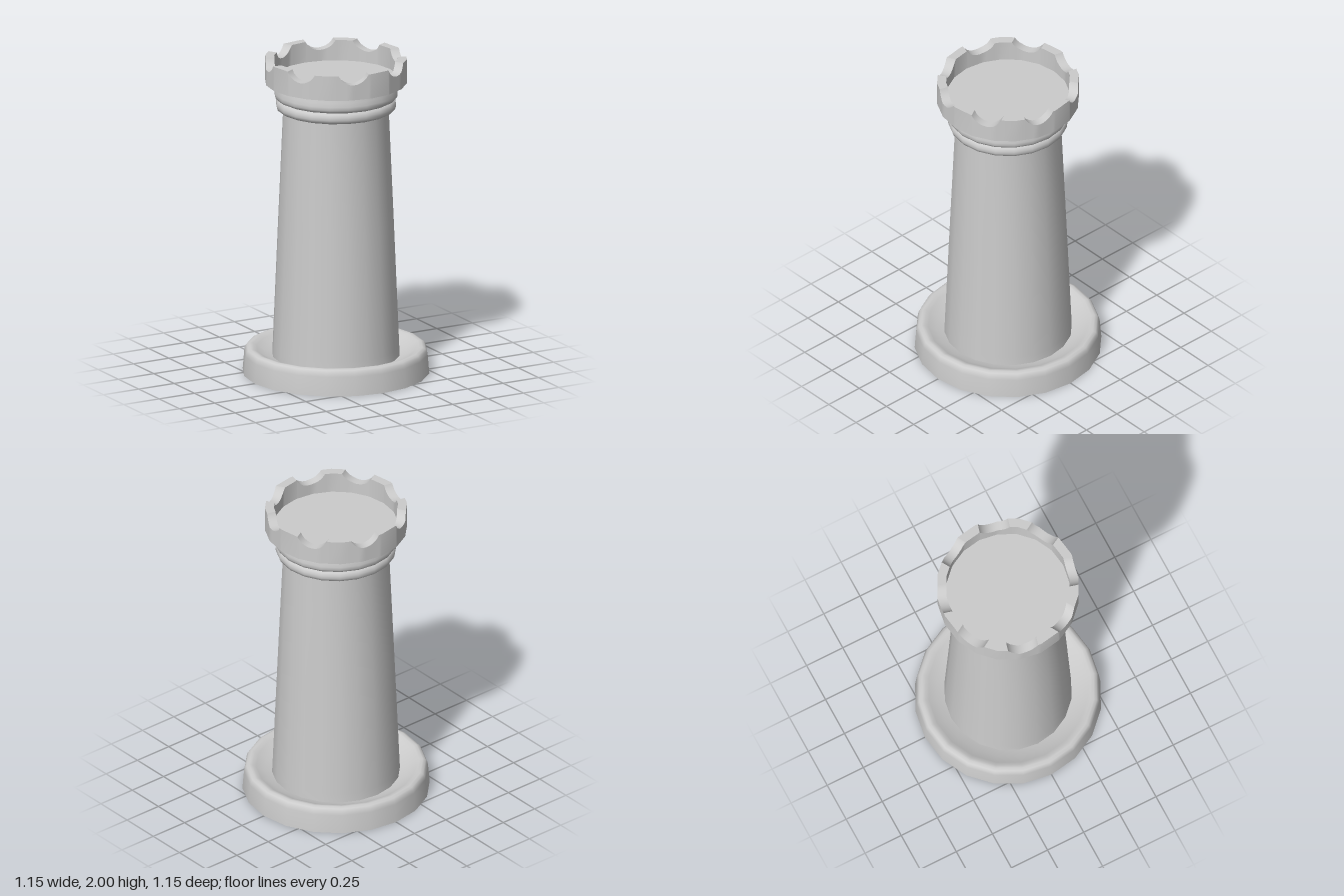
import * as THREE from 'three';
import { toCreasedNormals } from 'three/addons/utils/BufferGeometryUtils.js';

const SIDES = 20;
const STEP = (Math.PI * 2) / SIDES;
const material = new THREE.MeshStandardMaterial({ color: 0xcccccc });

function part(name, geometry, crease = 0.7) {
  const mesh = new THREE.Mesh(toCreasedNormals(geometry, crease), material);
  mesh.name = name;
  return mesh;
}

// Turned part from [radius, height] pairs, listed from the bottom up
function turned(name, profile) {
  const points = profile.map(([r, y]) => new THREE.Vector2(r, y));
  return part(name, new THREE.LatheGeometry(points, SIDES));
}

// Radius of a regular polygon with its corners on the axes
function polygonRadius(r, angle) {
  const a = ((angle % STEP) + STEP) % STEP;
  return (r * Math.cos(STEP / 2)) / Math.cos(a - STEP / 2);
}

// Ring wall with eight rounded notches cut radially into its top
function crownGeometry() {
  const outer = 0.437, inner = 0.381, bottom = 1.845, top = 2;
  const notches = 8, cutR = 0.105, cutY = 2.045, half = 0.0949, cuts = 12;
  const pitch = (Math.PI * 2) / notches;
  const sections = [];
  const section = (ao, ai, y) => {
    const at = (r, a, h) => {
      const p = polygonRadius(r, a);
      return [p * Math.cos(a), h, p * Math.sin(a)];
    };
    sections.push([at(outer, ao, bottom), at(outer, ao, y), at(inner, ai, y), at(inner, ai, bottom)]);
  };
  for (let k = 0; k < notches; k++) {
    const centre = Math.PI / 12 + k * pitch;
    for (let i = 0; i <= cuts; i++) {
      const t = -half * Math.cos((Math.PI * i) / cuts);
      const y = Math.min(top, cutY - Math.sqrt(cutR * cutR - t * t));
      section(centre + Math.asin(t / outer), centre + Math.asin(t / inner), i % cuts ? y : top);
    }
    // polygon corners on the merlon that follows
    const from = centre + Math.asin(half / inner);
    const to = centre + pitch - Math.asin(half / inner);
    for (let c = Math.ceil(from / STEP + 0.01); c * STEP < to - 0.01; c++) section(c * STEP, c * STEP, top);
  }
  const position = [];
  sections.forEach((a, i) => {
    const b = sections[(i + 1) % sections.length];
    for (let j = 0; j < 4; j++) {
      const n = (j + 1) % 4;
      position.push(...a[j], ...a[n], ...b[j], ...b[j], ...a[n], ...b[n]);
    }
  });
  const geometry = new THREE.BufferGeometry();
  geometry.setAttribute('position', new THREE.Float32BufferAttribute(position, 3));
  geometry.computeVertexNormals();
  return geometry;
}

export function createModel() {
  const model = new THREE.Group();
  model.name = 'rook';

  // Base with a rounded rim and a dished top
  model.add(turned('base', [
    [0, 0], [0.575, 0], [0.565, 0.12], [0.56, 0.143], [0.55, 0.158], [0.532, 0.165],
    [0.512, 0.162], [0.49, 0.15], [0.44, 0.124], [0.38, 0.105],
  ]));

  // Tapered shaft
  model.add(turned('shaft', [[0.393, 0.1], [0.39, 0.165], [0.357, 0.95], [0.325, 1.68]]));

  // Two collar rings under the crown
  model.add(turned('lowerRing', [
    [0.3, 1.672], [0.352, 1.672], [0.364, 1.68], [0.37, 1.697], [0.37, 1.715],
    [0.363, 1.732], [0.35, 1.742], [0.3, 1.745],
  ]));
  model.add(turned('upperRing', [
    [0.3, 1.74], [0.355, 1.742], [0.372, 1.75], [0.38, 1.765], [0.38, 1.785],
    [0.374, 1.81], [0.366, 1.848],
  ]));

  // Crown wall and the floor inside it
  model.add(part('crown', crownGeometry(), 0.55));
  const floor = part('crownFloor', new THREE.CylinderGeometry(0.381, 0.381, 0.025, SIDES));
  floor.position.y = 1.8575;
  model.add(floor);

  return model;
}
